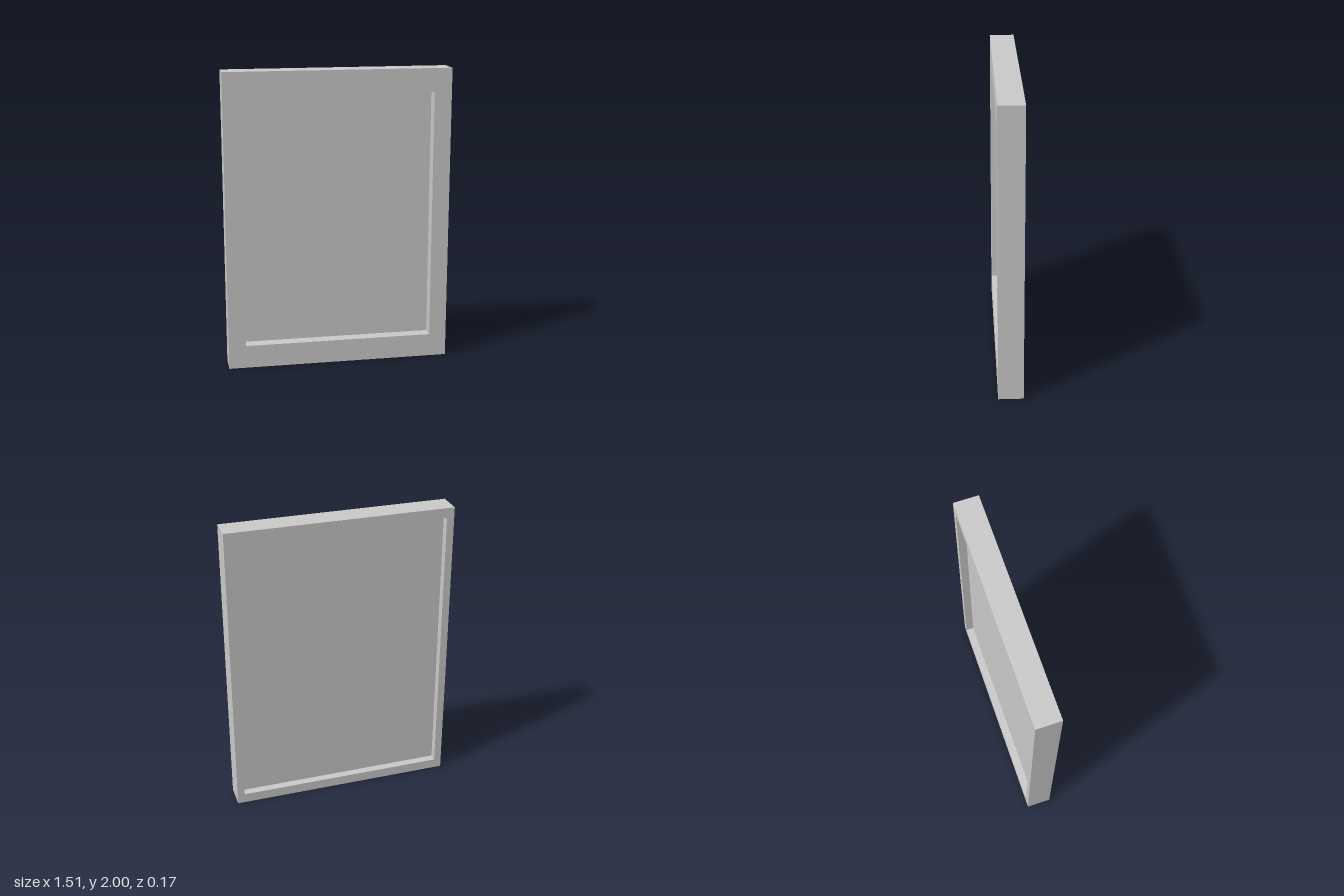
import * as THREE from 'three';

const W = 1.51, H = 2, D = 0.166;
const material = new THREE.MeshStandardMaterial({ color: 0xcccccc, flatShading: true });

// Rectangular ring with mitre-free square corners, running from z0 to z1
function ring(name, marginX, marginY, z0, z1) {
  const rect = (Type, x, y) => new Type([
    new THREE.Vector2(-x, -y), new THREE.Vector2(x, -y),
    new THREE.Vector2(x, y), new THREE.Vector2(-x, y),
  ]);
  const shape = rect(THREE.Shape, W / 2, H / 2);
  shape.holes.push(rect(THREE.Path, W / 2 - marginX, H / 2 - marginY));
  const geometry = new THREE.ExtrudeGeometry(shape, { depth: z1 - z0, bevelEnabled: false });
  const mesh = new THREE.Mesh(geometry, material);
  mesh.name = name;
  mesh.position.set(0, H / 2, z0);
  return mesh;
}

export function createModel() {
  const group = new THREE.Group();
  group.name = 'pictureFrame';

  // Wide front moulding, and a thinner rim around the rear recess
  const rimX = 0.05, rimY = 0.066;
  group.add(ring('frontMoulding', 0.117, 0.156, 0, D / 2));
  group.add(ring('backRim', rimX, rimY, -D / 2, 0));

  // Panel seated in the rear recess, against the moulding
  const thickness = 0.03;
  const panel = new THREE.Mesh(
    new THREE.BoxGeometry(W - 2 * rimX, H - 2 * rimY, thickness), material);
  panel.name = 'picturePanel';
  panel.position.set(0, H / 2, -thickness / 2);
  group.add(panel);

  return group;
}
